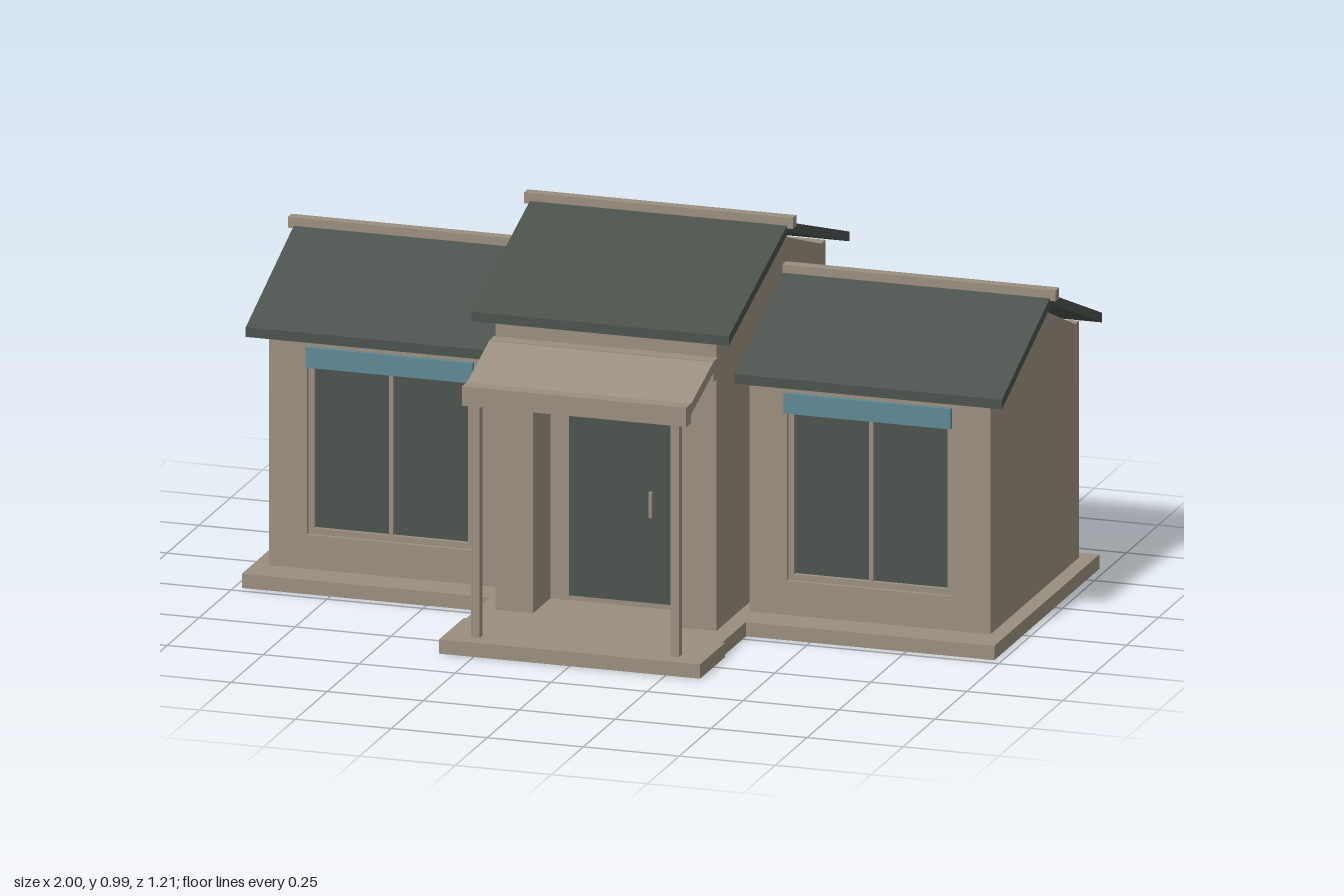
import * as THREE from 'three';

export function createModel() {
  const root = new THREE.Group();
  root.name = 'bungalow';

  const material = (name, color) => {
    const m = new THREE.MeshStandardMaterial({ color });
    m.name = name;
    return m;
  };
  const plaster = material('plaster', 0x998e7f);
  const slate = material('slate', 0x4a514b);
  const teal = material('teal', 0x5d8793);

  const add = (name, geometry, mat, parent) => {
    const mesh = new THREE.Mesh(geometry, mat);
    mesh.name = name;
    parent.add(mesh);
    return mesh;
  };
  // Box given by its limits on each axis
  const box = (name, mat, parent, [x0, x1], [y0, y1], [z0, z1]) => {
    const g = new THREE.BoxGeometry(x1 - x0, y1 - y0, z1 - z0);
    g.translate((x0 + x1) / 2, (y0 + y1) / 2, (z0 + z1) / 2);
    return add(name, g, mat, parent);
  };
  // Profile of [z, y] points extruded along x
  const prism = (name, mat, parent, [x0, x1], points) => {
    const shape = new THREE.Shape(points.map(([z, y]) => new THREE.Vector2(-z, y)));
    const g = new THREE.ExtrudeGeometry(shape, { depth: x1 - x0, bevelEnabled: false });
    g.rotateY(Math.PI / 2).translate(x0, 0, 0);
    return add(name, g, mat, parent);
  };
  // Gabled roof: slab bent over the ridge, with a cap along it
  const roof = (parent, xr, capX, front, back, ridge, eaveY, topY) => {
    const t = 0.025;
    prism('roofSlab', slate, parent, xr, [
      [front, eaveY], [front, eaveY + t], [ridge, topY], [back, eaveY + t],
      [back, eaveY], [ridge, topY - t],
    ]);
    box('ridgeCap', plaster, parent, capX, [topY - 0.012, topY + 0.016], [ridge - 0.014, ridge + 0.014]);
  };

  // Stepped foundation
  const base = new THREE.Group();
  base.name = 'foundation';
  root.add(base);
  const slab = [0, 0.037];
  for (const xr of [[-0.98, -0.27], [0.27, 0.98]]) box('wingSlab', plaster, base, xr, slab, [-0.6, 0.225]);
  box('centreSlab', plaster, base, [-0.333, 0.333], slab, [-0.575, 0.41]);
  box('porchSlab', plaster, base, [-0.34, 0.34], slab, [0.41, 0.605]);

  // Side wings, each with one large window
  for (const side of [-1, 1]) {
    const wing = new THREE.Group();
    wing.name = side > 0 ? 'leftWing' : 'rightWing';
    root.add(wing);
    const span = (a, b) => (side > 0 ? [a, b] : [-b, -a]);

    box('wingBody', plaster, wing, span(0.313, 0.94), [0.037, 0.635], [-0.56, 0.105]);
    prism('wingGable', plaster, wing, span(0.313, 0.94), [[0.135, 0.635], [-0.21, 0.785], [-0.56, 0.635]]);

    // Front wall with the window opening
    const [x0, x1] = span(0.313, 0.94);
    const [w0, w1] = span(0.41, 0.84);
    const wall = new THREE.Shape([[x0, 0.037], [x1, 0.037], [x1, 0.635], [x0, 0.635]]
      .map(p => new THREE.Vector2(...p)));
    wall.holes.push(new THREE.Path([[w0, 0.125], [w0, 0.6], [w1, 0.6], [w1, 0.125]]
      .map(p => new THREE.Vector2(...p))));
    const wallGeometry = new THREE.ExtrudeGeometry(wall, { depth: 0.03, bevelEnabled: false });
    add('frontWall', wallGeometry.translate(0, 0, 0.105), plaster, wing);

    // Window glass, frame and mullion
    box('windowGlass', slate, wing, span(0.41, 0.84), [0.125, 0.6], [0.106, 0.112]);
    const fz = [0.106, 0.124];
    box('frameSide', plaster, wing, span(0.41, 0.425), [0.125, 0.6], fz);
    box('frameSide', plaster, wing, span(0.825, 0.84), [0.125, 0.6], fz);
    box('frameSill', plaster, wing, span(0.425, 0.825), [0.125, 0.14], fz);
    box('mullion', plaster, wing, span(0.62, 0.63), [0.14, 0.6], fz);
    box('windowHeader', teal, wing, span(0.405, 0.84), [0.56, 0.612], [0.135, 0.147]);

    // Wall plates under the eaves
    box('wallPlate', plaster, wing, span(0.313, 0.94), [0.635, 0.658], [0.1, 0.135]);
    box('wallPlate', plaster, wing, span(0.313, 0.94), [0.635, 0.648], [-0.56, -0.53]);
    roof(wing, span(0.265, 0.985), span(0.265, 1), 0.18, -0.605, -0.21, 0.635, 0.82);
  }

  // Taller centre block with a recessed entrance
  const centre = new THREE.Group();
  centre.name = 'centreBlock';
  root.add(centre);
  const cx = [-0.288, 0.288];
  box('centreBody', plaster, centre, cx, [0.037, 0.79], [-0.535, 0.185]);
  box('entranceLintel', plaster, centre, cx, [0.61, 0.79], [0.185, 0.32]);
  for (const xr of [[-0.288, -0.19], [0.19, 0.288]]) box('pilaster', plaster, centre, xr, [0.037, 0.61], [0.185, 0.32]);
  prism('centreGable', plaster, centre, cx, [[0.32, 0.79], [-0.105, 0.94], [-0.535, 0.79]]);
  box('wallPlate', plaster, centre, cx, [0.785, 0.81], [0.285, 0.322]);
  box('wallPlate', plaster, centre, cx, [0.79, 0.802], [-0.535, -0.5]);
  box('entranceHeader', teal, centre, [-0.19, 0.19], [0.56, 0.612], [0.318, 0.332]);
  box('door', slate, centre, [-0.138, 0.138], [0.052, 0.565], [0.185, 0.193]);
  box('doorHandle', plaster, centre, [0.072, 0.08], [0.275, 0.34], [0.193, 0.205]);
  roof(centre, [-0.335, 0.335], [-0.35, 0.35], 0.365, -0.58, -0.105, 0.79, 0.975);

  // Porch canopy on two thin posts
  const porch = new THREE.Group();
  porch.name = 'porch';
  root.add(porch);
  box('frontBeam', plaster, porch, [-0.292, 0.292], [0.635, 0.685], [0.533, 0.57]);
  box('wallBeam', plaster, porch, [-0.292, 0.292], [0.69, 0.743], [0.318, 0.357]);
  prism('canopy', plaster, porch, [-0.292, 0.292], [[0.535, 0.655], [0.535, 0.683], [0.355, 0.742], [0.355, 0.714]]);
  for (const x of [-0.26, 0.26]) box('post', plaster, porch, [x - 0.011, x + 0.011], [0.037, 0.64], [0.54, 0.562]);

  return root;
}
